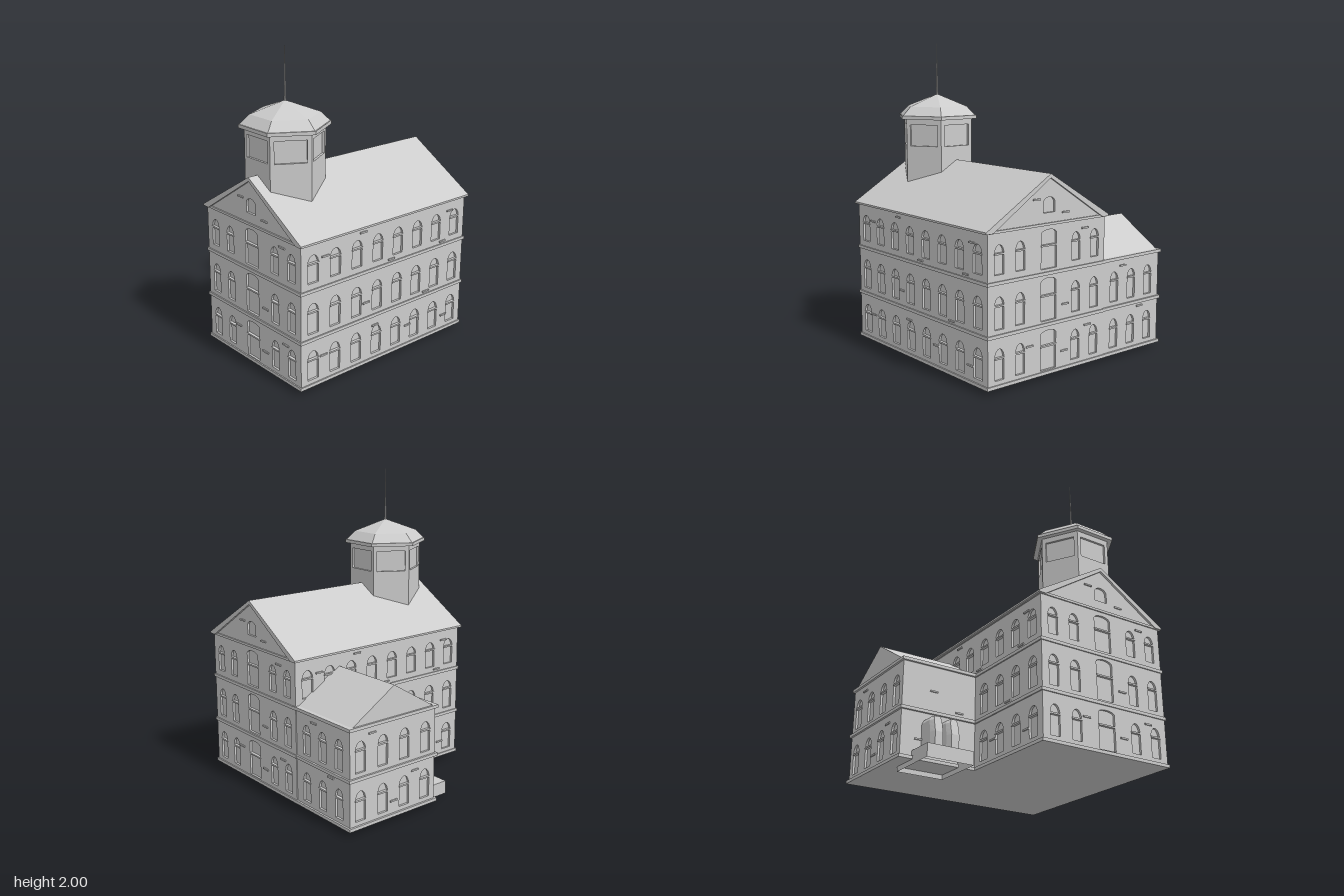
import * as THREE from 'three';

const T = 0.014; // depth of the window recesses
const grey = new THREE.MeshStandardMaterial({ color: 0xcccccc, flatShading: true });
const greyBoth = new THREE.MeshStandardMaterial({ color: 0xcccccc, flatShading: true, side: THREE.DoubleSide });

function add(parent, name, geometry, material = grey) {
  const mesh = new THREE.Mesh(geometry, material);
  mesh.name = name;
  parent.add(mesh);
  return mesh;
}

// Box given by its limits
function box(parent, name, x0, x1, y0, y1, z0, z1) {
  const mesh = add(parent, name, new THREE.BoxGeometry(x1 - x0, y1 - y0, z1 - z0));
  mesh.position.set((x0 + x1) / 2, (y0 + y1) / 2, (z0 + z1) / 2);
  return mesh;
}

function polygon(points) {
  return new THREE.Shape(points.map(([x, y]) => new THREE.Vector2(x, y)));
}

function rect(x0, x1, y0, y1) {
  return polygon([[x0, y0], [x1, y0], [x1, y1], [x0, y1]]);
}

function extrude(shape, z0, z1) {
  const geo = new THREE.ExtrudeGeometry(shape, { depth: z1 - z0, bevelEnabled: false, curveSegments: 8 });
  return geo.translate(0, 0, z0);
}

function archHole({ x, w, bottom, spring, top }) {
  const p = new THREE.Path();
  p.moveTo(x - w / 2, bottom);
  p.lineTo(x + w / 2, bottom);
  p.lineTo(x + w / 2, spring);
  p.absellipse(x, spring, w / 2, top - spring, 0, Math.PI, false);
  p.closePath();
  return p;
}

// Window heights per floor: bottom, lintel (also arch spring), top
const floors = [[0.075, 0.205, 0.262], [0.375, 0.513, 0.567], [0.695, 0.815, 0.868]];
const bigFloors = [[0.057, 0.205, 0.28, 0.3], [0.36, 0.513, 0.595, 0.62], [0.675, 0.815, 0.885, 0.91]];

function smallWindows(columns, storeys, w) {
  return floors.slice(0, storeys).flatMap(([bottom, lintel, top]) =>
    columns.map(x => ({ x, w, bottom, lintel, spring: lintel, top })));
}

function bigWindows(x) {
  return bigFloors.map(([bottom, lintel, spring, top]) => ({ x, w: 0.12, bottom, lintel, spring, top }));
}

// Wall panel with recessed windows, lintels and protruding bricks; outer face at local z = 0
function wall(parent, name, shape, windows, bricks, position, angle) {
  const g = new THREE.Group();
  g.name = name;
  g.position.set(...position);
  g.rotation.y = angle;
  parent.add(g);
  shape.holes = windows.map(archHole);
  add(g, name + 'Panel', extrude(shape, -T, 0));
  for (const { x, w, lintel } of windows) {
    if (lintel) box(g, 'lintel', x - w / 2 - 0.003, x + w / 2 + 0.003, lintel - 0.005, lintel + 0.005, -T, 0.004);
  }
  for (const [x, y] of bricks) box(g, 'brick', x - 0.027, x + 0.027, y - 0.005, y + 0.005, -T, 0.008);
}

function buildMain(root) {
  const g = new THREE.Group();
  g.name = 'mainBuilding';
  root.add(g);
  box(g, 'mainCore', -0.21 + T, 0.71 - T, 0.03, 0.945, -0.69 + T, 0.69 - T);

  const endColumns = [-0.375, -0.22, 0.22, 0.375];
  const sideColumns = [...Array(8)].map((_, i) => (i - 3.5) * 0.171);
  const endWindows = () => [...smallWindows(endColumns, 3, 0.068), ...bigWindows(0)];
  const frontBricks = [[0.29, 0.885], [0.13, 0.44], [0.32, 0.275], [-0.15, 0.23], [0.125, 0.15]];
  const sideBricks = [[-0.51, 0.84], [-0.21, 0.91], [0.55, 0.87], [0.49, 0.675], [0.03, 0.675], [-0.18, 0.445],
    [0.35, 0.365], [-0.1, 0.27], [0.19, 0.175], [-0.52, 0.21], [0.53, 0.14]];
  const endShape = () => rect(-0.46, 0.46, 0.03, 0.945);
  const sideShape = () => rect(-0.69, 0.69, 0.03, 0.945);
  const sideWindows = () => smallWindows(sideColumns, 3, 0.08);
  wall(g, 'frontWall', endShape(), endWindows(), frontBricks, [0.25, 0, 0.69], 0);
  wall(g, 'backWall', endShape(), endWindows(), frontBricks, [0.25, 0, -0.69], Math.PI);
  wall(g, 'leftWall', sideShape(), sideWindows(), sideBricks, [0.71, 0, 0], Math.PI / 2);
  wall(g, 'rightWall', sideShape(), sideWindows(), sideBricks, [-0.21, 0, 0], -Math.PI / 2);

  // String courses
  for (const [y0, y1] of [[0.03, 0.05], [0.328, 0.348], [0.638, 0.658], [0.935, 0.95]]) {
    for (const s of [-1, 1]) {
      box(g, 'course', -0.218, 0.718, y0, y1, s * 0.684 - 0.014, s * 0.684 + 0.014);
      box(g, 'course', 0.25 + s * 0.454 - 0.014, 0.25 + s * 0.454 + 0.014, y0, y1, -0.698, 0.698);
    }
  }

  // Gables
  const gable = () => polygon([[-0.46, 0.94], [0.46, 0.94], [0, 1.225]]);
  const gableWindow = () => [{ x: 0, w: 0.09, bottom: 1.01, spring: 1.07, top: 1.102 }];
  const gableBricks = [[-0.1, 1.095], [0.13, 1.0]];
  wall(g, 'frontGable', gable(), gableWindow(), gableBricks, [0.25, 0, 0.69], 0);
  wall(g, 'backGable', gable(), gableWindow(), gableBricks, [0.25, 0, -0.69], Math.PI);
  add(g, 'atticCore', extrude(gable(), -0.69 + T, 0.69 - T)).position.x = 0.25;

  // Roof slab
  const roof = polygon([[-0.48, 0.938], [-0.48, 0.95], [0, 1.24], [0.48, 0.95], [0.48, 0.938], [0.43, 0.938],
    [0, 1.215], [-0.43, 0.938]]);
  add(g, 'mainRoof', extrude(roof, -0.705, 0.705)).position.x = 0.25;
}

function buildWing(root) {
  const g = new THREE.Group();
  g.name = 'sideWing';
  root.add(g);
  box(g, 'wingCore', -0.72 + T, -0.2, 0.03, 0.65, -0.685 + T, -0.015);
  const shape = w => rect(-w / 2, w / 2, 0.03, 0.65);
  wall(g, 'wingBack', shape(0.51), smallWindows([-0.155, 0, 0.155], 2, 0.068), [[0.08, 0.31], [-0.08, 0.6]],
    [-0.465, 0, -0.685], Math.PI);
  wall(g, 'wingSide', shape(0.67), smallWindows([-0.255, -0.085, 0.085, 0.255], 2, 0.075),
    [[-0.17, 0.6], [0.17, 0.28], [0, 0.13]], [-0.72, 0, -0.35], -Math.PI / 2);
  for (const [x, y] of [[-0.505, 0.48], [-0.325, 0.375], [-0.6, 0.16]]) {
    box(g, 'brick', x - 0.027, x + 0.027, y - 0.005, y + 0.005, -0.03, -0.007);
  }
  for (const [y0, y1] of [[0.03, 0.05], [0.33, 0.35], [0.64, 0.66]]) {
    box(g, 'wingCourse', -0.733, -0.2, y0, y1, -0.697, -0.669);
    box(g, 'wingCourse', -0.733, -0.2, y0, y1, -0.028, 0);
    box(g, 'wingCourse', -0.733, -0.705, y0, y1, -0.697, 0);
  }
  // Gable roof with its ridge along x
  const roof = extrude(polygon([[-0.33, 0.65], [0.33, 0.65], [0, 0.852]]), -0.72, -0.2);
  add(g, 'wingRoof', roof.rotateY(Math.PI / 2)).position.z = -0.35;
}

function buildPorch(root) {
  const g = new THREE.Group();
  g.name = 'plinthWithPosts';
  root.add(g);
  // Plinth, open underneath
  const geo = new THREE.BoxGeometry(0.31, 0.085, 0.36);
  const index = Array.from(geo.index.array);
  index.splice(18, 6);
  geo.setIndex(index);
  geo.clearGroups();
  add(g, 'plinth', geo, greyBoth).position.set(-0.485, 0.0425, -0.01);

  // Chamfered posts leaning back in their upper half
  for (const x of [-0.54, -0.43]) {
    const plan = polygon([[-0.041, 0.02], [0.041, 0.02], [0.041, -0.09], [0.026, -0.125], [-0.026, -0.125], [-0.041, -0.09]]);
    const post = new THREE.ExtrudeGeometry(plan, { depth: 0.2, steps: 8, bevelEnabled: false }).rotateX(-Math.PI / 2);
    const p = post.attributes.position;
    for (let i = 0; i < p.count; i++) {
      const t = p.getY(i) / 0.2;
      if (t > 0.9) p.setX(i, p.getX(i) * 0.65);
      if (t > 0.5) p.setZ(i, p.getZ(i) * (1 - 0.4 * (t - 0.5)));
    }
    post.computeVertexNormals();
    add(g, 'post', post).position.set(x, 0.082, 0);
  }
}

function buildTower(root) {
  const g = new THREE.Group();
  g.name = 'bellTower';
  g.position.set(0.25, 0, 0.425);
  root.add(g);
  const r = 0.245, apothem = r * Math.cos(Math.PI / 6);
  const hex = (name, top, bottom, y0, y1) => {
    const geo = new THREE.CylinderGeometry(top, bottom, y1 - y0, 6).rotateY(Math.PI / 6);
    add(g, name, geo).position.y = (y0 + y1) / 2;
  };
  const core = r - T / Math.cos(Math.PI / 6);
  hex('towerCore', core, core, 0.98, 1.5);
  // Six walls, each with a recessed opening
  for (let i = 0; i < 6; i++) {
    const a = i * Math.PI / 3;
    const panel = rect(-r / 2, r / 2, 0.98, 1.505);
    panel.holes.push(rect(-0.097, 0.097, 1.33, 1.467));
    const mesh = add(g, 'towerWall', extrude(panel, -T, 0));
    mesh.position.set(Math.sin(a) * apothem, 0, Math.cos(a) * apothem);
    mesh.rotation.y = a;
  }
  hex('towerEave', 0.28, 0.28, 1.503, 1.525);
  hex('lowerDome', 0.213, 0.272, 1.525, 1.582);
  hex('upperDome', 0, 0.213, 1.582, 1.66);
  const spire = new THREE.CylinderGeometry(0.001, 0.008, 0.36, 8);
  add(g, 'spire', spire).position.y = 1.82;
}

export function createModel() {
  const root = new THREE.Group();
  root.name = 'marketHall';
  buildMain(root);
  buildWing(root);
  buildPorch(root);
  buildTower(root);
  return root;
}
